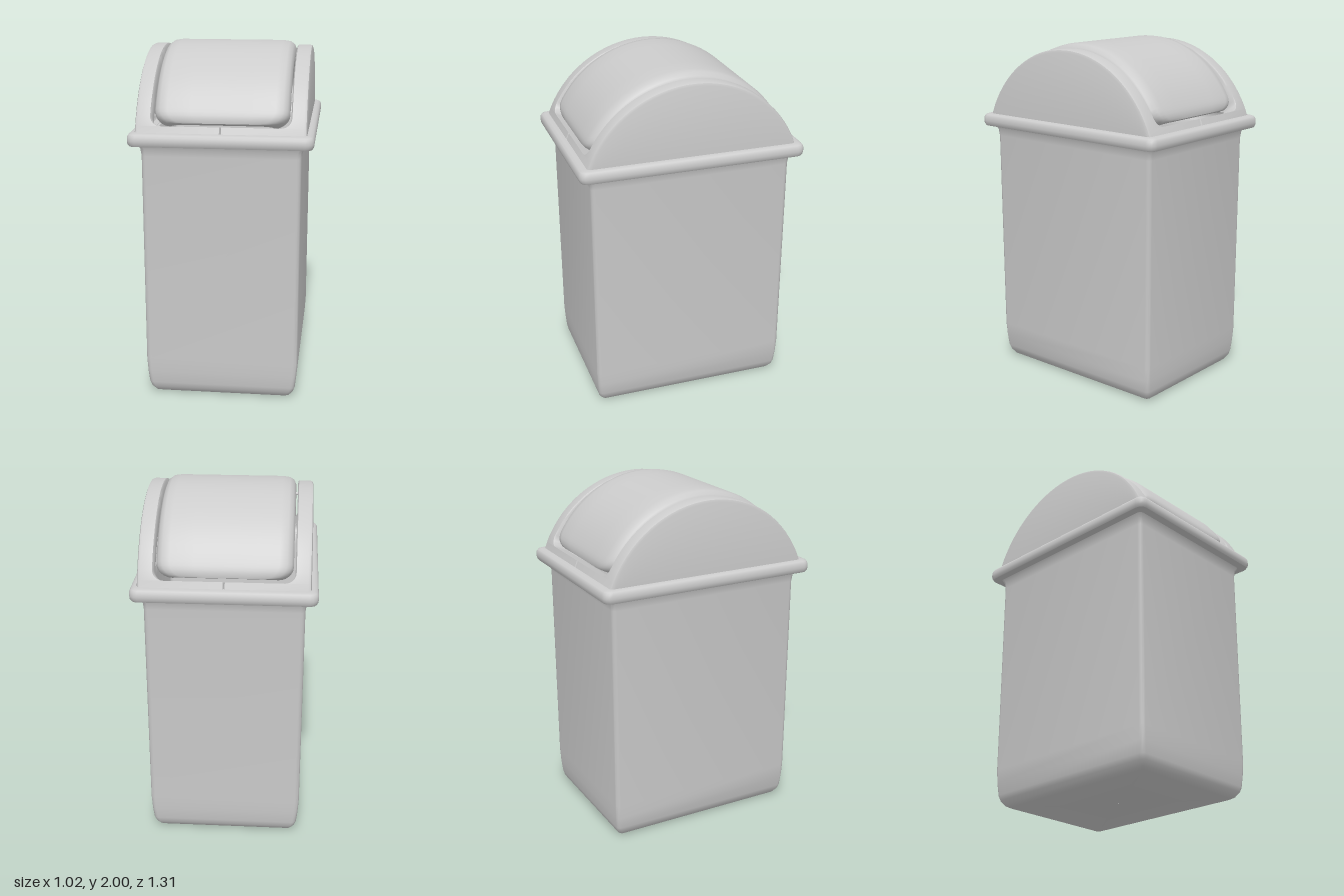
import * as THREE from 'three';
import { toCreasedNormals } from 'three/addons/utils/BufferGeometryUtils.js';

const material = new THREE.MeshStandardMaterial({ color: 0xcccccc, side: THREE.DoubleSide });

// Skin a list of equally long rows of [x, y, z] points
function skin(name, rows, crease = 0.7) {
  const n = rows[0].length, index = [];
  for (let i = 0; i < rows.length - 1; i++) {
    for (let j = 0; j < n - 1; j++) {
      const a = i * n + j, b = a + 1, c = a + n, d = c + 1;
      index.push(a, c, b, b, c, d);
    }
  }
  const g = new THREE.BufferGeometry();
  g.setAttribute('position', new THREE.Float32BufferAttribute(rows.flat(2), 3));
  g.setIndex(index);
  const mesh = new THREE.Mesh(toCreasedNormals(g, crease), material);
  mesh.name = name;
  return mesh;
}

// Closed rounded-rectangle ring at height y
function ring([hx, hz, y, r]) {
  const pts = [], steps = 4;
  [[1, 1], [-1, 1], [-1, -1], [1, -1]].forEach(([sx, sz], q) => {
    for (let k = 0; k <= steps; k++) {
      const a = (q + k / steps) * Math.PI / 2;
      pts.push([sx * (hx - r) + r * Math.cos(a), y, sz * (hz - r) + r * Math.sin(a)]);
    }
  });
  pts.push(pts[0]);
  return pts;
}

// Angles over the dome, closer together in the rounded corners at both ends
function domeAngles(end, radius, corner) {
  const half = [];
  for (let k = 0; k <= 6; k++) half.push(end - corner * (1 - Math.cos(k * Math.PI / 12)) / radius);
  const last = half[6];
  for (let k = 1; k <= 14; k++) half.push(last * (1 - k / 14));
  return [...half.map(t => -t), ...half.slice(0, -1).reverse()];
}

// Half width of a rounded rectangle wrapped over the dome
function halfWidth(t, end, radius, width, corner) {
  const e = Math.max(0, (end - Math.abs(t)) * radius);
  if (e >= corner) return width;
  return width - corner + Math.sqrt(corner ** 2 - (corner - e) ** 2);
}

const onDome = (x, t, r, cy) => [x, cy + r * Math.cos(t), r * Math.sin(t)];

// Lid frame: arched cheeks with end walls, around a rounded opening
function lidHalf(side) {
  const R = 0.647, cy = 1.328, base = 1.55, end = 1.15, edge = 1.224, corner = 0.06;
  const row = (t, w) => {
    const pts = [
      onDome(w, t, R - 0.09, cy), onDome(w, t, R - 0.008, cy), onDome(w + 0.006, t, R, cy),
      onDome(0.452, t, R, cy), onDome(0.465, t, R - 0.005, cy), onDome(0.47, t, R - 0.018, cy),
    ];
    pts.push([0.47, base, pts[5][2]]);
    return side > 0 ? pts : pts.map(([x, y, z]) => [-x, y, z]).reverse();
  };
  const rows = domeAngles(end, R, corner).map(t => row(t, halfWidth(t, end, R, 0.382, corner)));
  rows.unshift(row(-edge, 0), row(-end, 0));
  rows.push(row(end, 0), row(edge, 0));
  return skin(side > 0 ? 'lidFrameLeft' : 'lidFrameRight', rows);
}

// Swing flap: curved panel with softened edges and a short skirt
function swingFlap() {
  const R = 0.635, cy = 1.365, end = 1.17, corner = 0.085;
  const section = [[0, -0.09], [0, -0.05], [0.012, -0.022], [0.035, -0.006], [0.075, 0], [0.2, 0]];
  const row = (t, extra = 0) => {
    const w = halfWidth(t, end, R, 0.372, corner);
    const e = Math.max(0, 1 - (end - Math.abs(t)) * R / 0.05);
    const drop = 0.014 * e * e + extra;
    const left = section.map(([dx, dr]) => onDome(-w + dx, t, R + dr - drop, cy));
    const right = left.map(([x, y, z]) => [-x, y, z]).reverse();
    return [...left, ...right];
  };
  const rows = domeAngles(end, R, corner).map(t => row(t));
  rows.unshift(row(-end, 0.04));
  rows.push(row(end, 0.04));
  return skin('swingFlap', rows, 0.9);
}

export function createModel() {
  const model = new THREE.Group();
  model.name = 'swingLidBin';

  // Body: hollow tub with a rounded foot and a slight flare below the rim
  model.add(skin('body', [
    [0.002, 0.002, 0, 0.001], [0.37, 0.52, 0, 0.02], [0.392, 0.542, 0.012, 0.022],
    [0.413, 0.562, 0.04, 0.025], [0.424, 0.569, 0.07, 0.025], [0.432, 0.575, 0.14, 0.025],
    [0.437, 0.579, 0.22, 0.025], [0.441, 0.583, 1.42, 0.025], [0.446, 0.588, 1.46, 0.025],
    [0.458, 0.6, 1.485, 0.025],
  ].map(ring)));

  // Rim: rolled band between body and lid
  model.add(skin('rim', [
    [0.44, 0.58, 1.485, 0.025], [0.485, 0.63, 1.482, 0.03], [0.5, 0.645, 1.485, 0.04],
    [0.508, 0.653, 1.498, 0.045], [0.51, 0.655, 1.515, 0.045], [0.508, 0.653, 1.538, 0.045],
    [0.5, 0.645, 1.55, 0.04], [0.485, 0.63, 1.556, 0.03], [0.45, 0.59, 1.556, 0.02],
  ].map(ring)));

  // Lid
  const lid = new THREE.Group();
  lid.name = 'lid';
  lid.add(lidHalf(1), lidHalf(-1), swingFlap());

  // Hinge pins that carry the flap
  for (const side of [1, -1]) {
    const pin = new THREE.Mesh(new THREE.CylinderGeometry(0.01, 0.01, 0.04, 12), material);
    pin.name = side > 0 ? 'hingePinLeft' : 'hingePinRight';
    pin.rotation.z = Math.PI / 2;
    pin.position.set(side * 0.377, 1.92, 0);
    lid.add(pin);
  }
  model.add(lid);
  return model;
}
